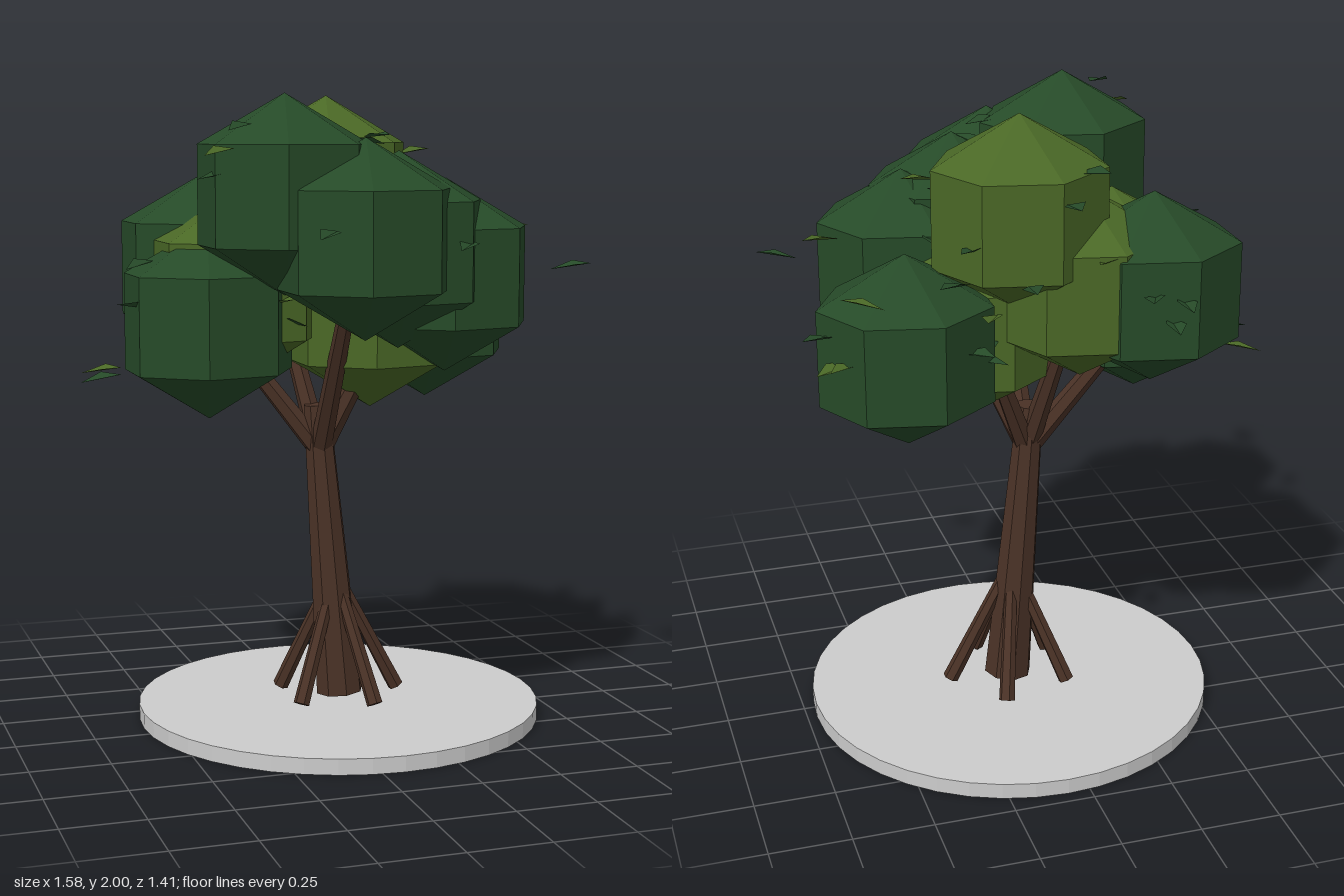
import * as THREE from 'three';

const mat = (name, color, extra = {}) => {
  const m = new THREE.MeshStandardMaterial({ color, ...extra });
  m.name = name;
  return m;
};

// Faceted normals for the low-poly look
const faceted = (geo) => {
  const g = geo.index ? geo.toNonIndexed() : geo;
  g.computeVertexNormals();
  return g;
};

export function createModel() {
  const tree = new THREE.Group();
  tree.name = 'tree';
  const bark = mat('bark brown', 0x4a3226);
  const stone = mat('base grey', 0xcccccc);
  const dark = mat('dark green', 0x264a28, { side: THREE.DoubleSide });
  const light = mat('light green', 0x4a6826, { side: THREE.DoubleSide });

  const add = (name, geo, material, parent = tree) => {
    const mesh = new THREE.Mesh(geo, material);
    mesh.name = name;
    parent.add(mesh);
    return mesh;
  };
  const group = (name) => {
    const g = new THREE.Group();
    g.name = name;
    tree.add(g);
    return g;
  };

  // Tapered limb from point a to point b
  const limb = (name, a, b, ra, rb, sides, parent) => {
    const from = new THREE.Vector3(...a), to = new THREE.Vector3(...b);
    const dir = to.clone().sub(from);
    const mesh = add(name, faceted(new THREE.CylinderGeometry(rb, ra, dir.length(), sides)), bark, parent);
    mesh.position.copy(from).add(to).multiplyScalar(0.5);
    mesh.quaternion.setFromUnitVectors(new THREE.Vector3(0, 1, 0), dir.normalize());
    return mesh;
  };

  // Round base plate
  add('base', faceted(new THREE.CylinderGeometry(0.65, 0.65, 0.05, 40)), stone).position.set(0.07, 0.025, -0.06);

  // Leaning trunk
  limb('trunk', [0.075, 0.07, -0.06], [0, 1.02, -0.07], 0.077, 0.043, 8);

  // Five roots splayed evenly around the trunk
  const roots = group('roots');
  for (let i = 0; i < 5; i++) {
    const a = (i / 5) * Math.PI * 2, c = Math.cos(a), s = Math.sin(a);
    limb('root', [0.07 + c * 0.2, 0.07, -0.06 + s * 0.2], [0.06 + c * 0.03, 0.41, -0.06 + s * 0.03], 0.026, 0.02, 6, roots);
  }

  // Branches reaching into the crown
  const branches = group('branches');
  const branchEnds = [[-0.36, 1.36, -0.16], [0, 1.5, 0.32], [0.24, 1.38, 0.06], [0.2, 1.35, -0.22], [-0.08, 1.4, -0.26]];
  for (const end of branchEnds) limb('branch', [0.01, 0.87, -0.065], end, 0.036, 0.022, 6, branches);

  // Crown clumps: x, y, z of each centre
  const darkClumps = [
    [-0.2, 1.7, 0.25], [0.01, 1.57, 0.38], [0.34, 1.445, 0.18], [0.16, 1.53, 0.25],
    [0.43, 1.31, -0.23], [-0.38, 1.305, 0.03], [-0.32, 1.45, -0.28],
  ];
  const lightClumps = [[0.08, 1.7, -0.225], [-0.11, 1.47, -0.23], [0.17, 1.31, -0.04], [-0.27, 1.4, -0.04]];
  const clumpGeo = faceted(new THREE.SphereGeometry(0.3, 7, 3).rotateY(Math.PI).scale(1.03, 1, 0.95));
  const crown = group('crown');

  // Folded diamond leaf lying flat
  const leafGeo = new THREE.BufferGeometry();
  leafGeo.setAttribute('position', new THREE.Float32BufferAttribute([
    0.065, 0, 0, -0.065, 0, 0, 0.01, 0.012, 0.032,
    -0.065, 0, 0, 0.065, 0, 0, 0.01, 0.012, -0.032,
  ].map((v, i) => v), 3));
  leafGeo.computeVertexNormals();
  const leaves = group('leaves');
  const leaf = (x, y, z, yaw, material, tilt = 0.15) => {
    const m = add('leaf', leafGeo, material, leaves);
    m.position.set(x, y, z);
    m.rotation.set(tilt, yaw, tilt, 'YXZ');
  };

  let seed = 7;
  const rand = () => (seed = (seed * 16807) % 2147483647) / 2147483647;

  for (const [list, material] of [[darkClumps, dark], [lightClumps, light]]) {
    for (const p of list) {
      add('foliage clump', clumpGeo, material, crown).position.set(...p);
      // Small leaves poking out of each clump
      for (let k = 0; k < 4; k++) {
        const a = rand() * Math.PI * 2;
        leaf(p[0] + Math.cos(a) * 0.25, p[1] + (rand() - 0.4) * 0.3, p[2] + Math.sin(a) * 0.24, -a,
          rand() < 0.7 ? dark : light, (rand() - 0.5) * 0.4);
      }
    }
  }

  // Loose leaves around the crown: x, y, z, yaw
  const looseDark = [
    [-0.73, 1.15, 0.09, 0.1], [-0.64, 1.5, 0.24, 0.7], [-0.4, 1.9, 0.48, 0.8], [-0.19, 1.6, 0.65, 0.9],
    [0.3, 1.55, 0.47, 0.9], [0.72, 1.47, 0.28, -0.3], [0.7, 1.4, -0.3, 0.5], [0.34, 1.58, -0.47, 0.6],
    [0.14, 1.58, -0.56, 1.5], [0.01, 1.8, -0.53, 1.6], [-0.24, 1.5, -0.52, 1.2], [-0.43, 1.76, 0.34, 0.2],
  ];
  const looseLight = [
    [-0.69, 1.15, -0.11, -0.4], [0.62, 1.58, 0.06, 0.4], [0.25, 1.5, -0.54, 1.1], [-0.46, 1.83, 0.48, 0.6],
    [0.02, 1.5, 0.5, -0.8], [0.6, 1.54, -0.43, -0.5], [0.37, 1.82, -0.2, 0.2],
  ];
  for (const l of looseDark) leaf(...l, dark);
  for (const l of looseLight) leaf(...l, light);

  return tree;
}
